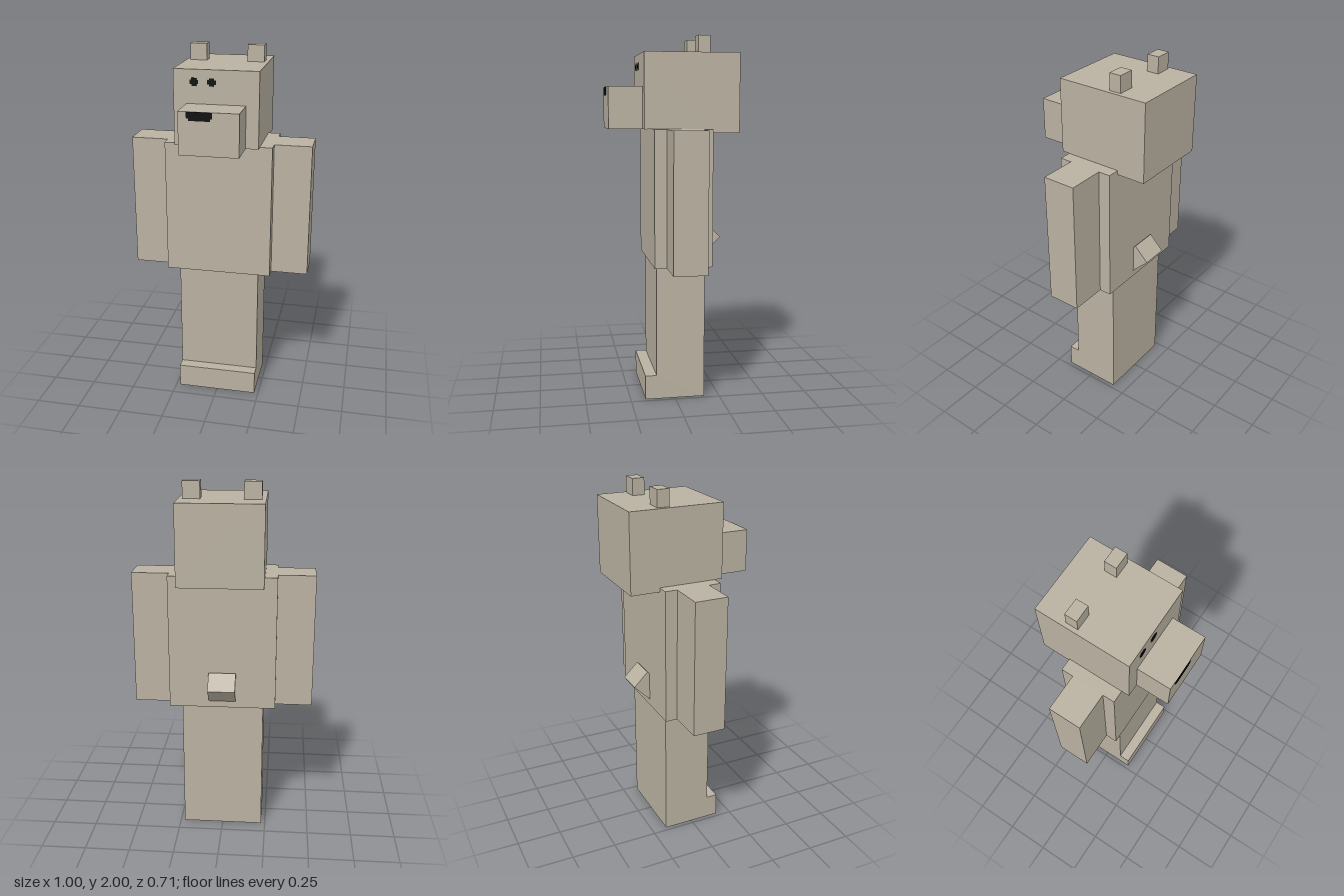
import * as THREE from 'three';

export function createModel() {
  const model = new THREE.Group();
  const fur = new THREE.MeshStandardMaterial({ color: 0xb9b1a1 });
  fur.name = 'taupe fur';
  const ink = new THREE.MeshStandardMaterial({ color: 0x0c0c0e });
  ink.name = 'black';

  function add(name, geometry, material = fur, parent = model) {
    const mesh = new THREE.Mesh(geometry, material);
    mesh.name = name;
    parent.add(mesh);
    return mesh;
  }

  // Box given by its lower and upper limits on each axis
  function box(name, [x0, x1], [y0, y1], [z0, z1], material, parent) {
    const mesh = add(name, new THREE.BoxGeometry(x1 - x0, y1 - y0, z1 - z0), material, parent);
    mesh.position.set((x0 + x1) / 2, (y0 + y1) / 2, (z0 + z1) / 2);
    return mesh;
  }

  // Side profile of [z, y] points, extruded across the width
  function profile(name, points, halfWidth) {
    const shape = new THREE.Shape(points.map(([z, y]) => new THREE.Vector2(-z, y)));
    const geometry = new THREE.ExtrudeGeometry(shape, { depth: halfWidth * 2, bevelEnabled: false });
    geometry.translate(0, 0, -halfWidth).rotateY(Math.PI / 2);
    return add(name, geometry);
  }

  // Joined legs with a foot ledge at the front
  profile('legsAndFeet', [
    [-0.165, 0], [0.168, 0], [0.168, 0.135], [0.105, 0.135], [0.105, 0.757], [-0.165, 0.757],
  ], 0.227);

  box('torso', [-0.295, 0.295], [0.757, 1.503], [-0.193, 0.124]);

  // Head, hanging slightly lower behind the torso
  profile('head', [
    [0.168, 1.503], [0.168, 1.91], [-0.353, 1.91], [-0.353, 1.48], [-0.193, 1.48], [-0.193, 1.503],
  ], 0.227);
  box('muzzle', [-0.158, 0.158], [1.503, 1.731], [0.168, 0.353]);

  // Mirrored arms and ears
  for (const [side, s] of [['left', 1], ['right', -1]]) {
    const span = (a, b) => (s > 0 ? [a, b] : [-b, -a]);
    box(side + 'Arm', span(0.295, 0.5), [0.757, 1.503], [-0.126, 0.057]);
    box(side + 'Ear', span(0.113, 0.205), [1.91, 2], [-0.193, -0.126]);
  }

  // Stub tail, tilted upwards out of the back
  const tail = add('tail', new THREE.BoxGeometry(0.15, 0.113, 0.17));
  tail.position.set(0, 0.865, -0.185);
  tail.rotation.x = Math.PI / 4;

  // Stepped eyes and mouth, as thin plates
  for (const [name, x] of [['rightEye', -0.116], ['leftEye', -0.022]]) {
    const eye = new THREE.Group();
    eye.name = name;
    eye.position.set(x, 1.845, 0.169);
    model.add(eye);
    box('eyeWide', [-0.023, 0.023], [-0.011, 0.011], [-0.002, 0.002], ink, eye);
    box('eyeTall', [-0.013, 0.013], [-0.021, 0.021], [-0.002, 0.002], ink, eye);
  }
  box('mouthTop', [-0.114, 0.02], [1.698, 1.731], [0.352, 0.356], ink);
  box('mouthBottom', [-0.103, 0.01], [1.685, 1.698], [0.352, 0.356], ink);

  return model;
}
